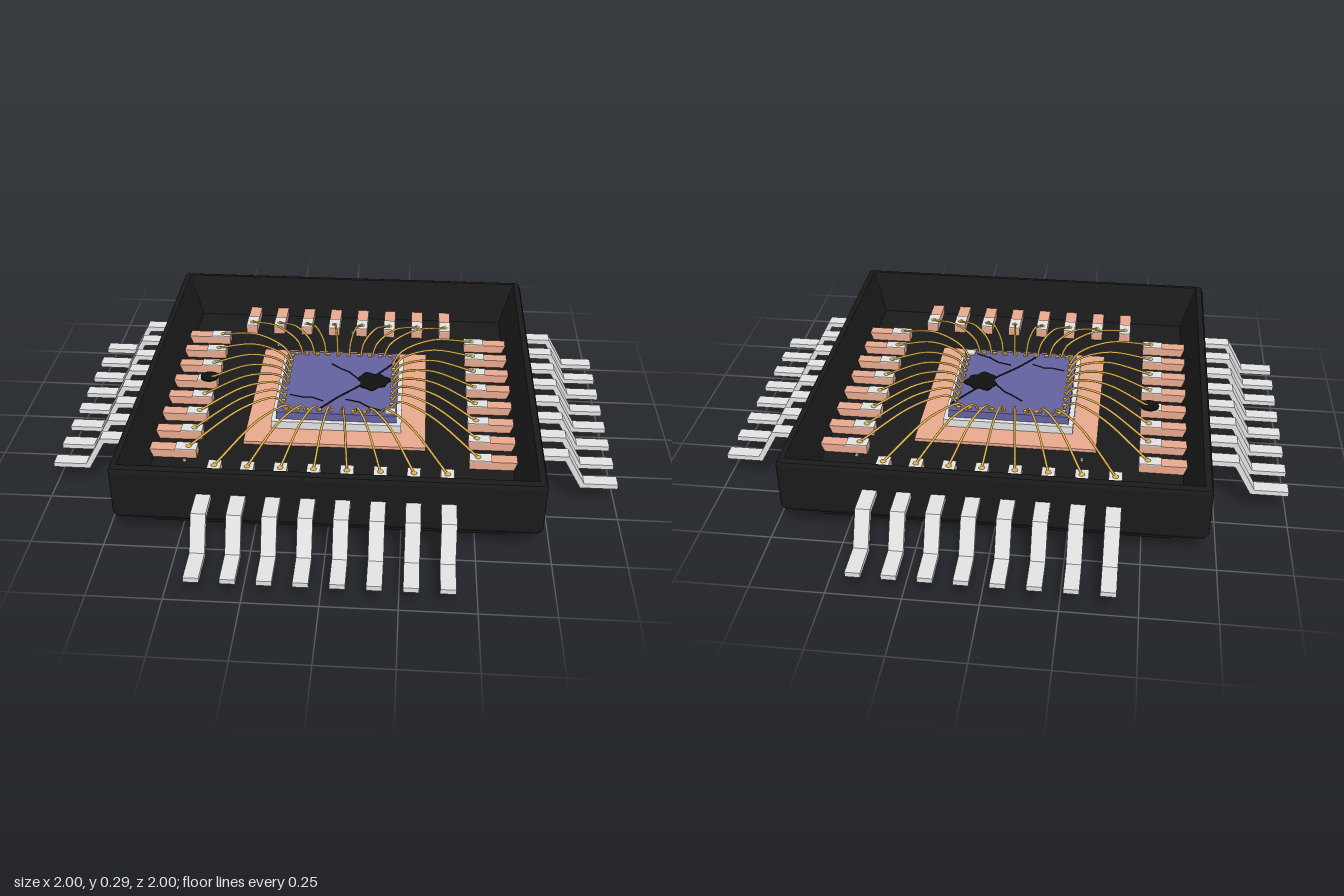
import * as THREE from 'three';

const mat = (name, color) => {
  const m = new THREE.MeshStandardMaterial({ color });
  m.name = name;
  return m;
};

// Loft of rounded squares; profile entries are [half width, y, corner radius]
function squareLoft(profile, arc = 4) {
  const pos = [], idx = [], n = 4 * (arc + 1);
  for (const [h, y, r] of profile)
    for (let q = 0; q < 4; q++) {
      const mid = Math.PI / 4 + q * Math.PI / 2;
      const cx = Math.sign(Math.cos(mid)) * (h - r), cz = Math.sign(Math.sin(mid)) * (h - r);
      for (let k = 0; k <= arc; k++) {
        const a = (q + k / arc) * Math.PI / 2;
        pos.push(cx + r * Math.cos(a), y, cz + r * Math.sin(a));
      }
    }
  for (let i = 0; i < profile.length - 1; i++)
    for (let j = 0; j < n; j++) {
      const a = i * n + j, b = i * n + (j + 1) % n;
      idx.push(a, a + n, b, b, a + n, b + n);
    }
  const g = new THREE.BufferGeometry();
  g.setAttribute('position', new THREE.Float32BufferAttribute(pos, 3));
  g.setIndex(idx);
  const flat = g.toNonIndexed();
  flat.computeVertexNormals();
  return flat;
}

export function createModel() {
  const model = new THREE.Group();
  model.name = 'openChipPackage';
  const black = mat('blackPlastic', 0x1a1a1a);
  const silver = mat('silverMetal', 0xe2e2e2);
  const copper = mat('copper', 0xe8a98e);
  const blue = mat('blueSilicon', 0x64619f);
  const gold = mat('goldWire', 0xdfb04a);
  const char = mat('charredBlack', 0x111111);

  const add = (parent, name, geo, material, x = 0, y = 0, z = 0) => {
    const m = new THREE.Mesh(geo, material);
    m.name = name;
    m.position.set(x, y, z);
    parent.add(m);
    return m;
  };
  const box = (parent, name, material, w, y0, y1, d, x = 0, z = 0) =>
    add(parent, name, new THREE.BoxGeometry(w, y1 - y0, d), material, x, (y0 + y1) / 2, z);

  // Housing: tapered base, rounded rim and sunken cavity
  const floor = 0.138;
  add(model, 'housing', squareLoft([
    [0, 0, 0], [0.605, 0, 0.002], [0.632, 0.09, 0.002], [0.698, 0.09, 0.012], [0.711, 0.096, 0.018],
    [0.718, 0.11, 0.022], [0.718, 0.277, 0.022], [0.712, 0.29, 0.018], [0.7, 0.295, 0.012],
    [0.69, 0.294, 0.004], [0.635, floor, 0.002], [0, floor, 0],
  ]), black);

  // Copper pad, bonding layer and die
  const padTop = 0.15, layerTop = 0.18, dieTop = 0.21;
  box(model, 'diePad', copper, 0.655, floor, padTop, 0.655);
  box(model, 'bondLayer', silver, 0.475, padTop, layerTop, 0.475);
  box(model, 'die', blue, 0.44, layerTop, dieTop, 0.44);
  box(model, 'cornerMarker', silver, 0.035, dieTop, dieTop + 0.006, 0.035, 0.197, 0.193);

  // Gull-wing pin section, drawn as outward distance and height
  const w = 0.05;
  const section = new THREE.Shape([
    [0.7, 0.187], [0.808, 0.187], [0.87, 0.077], [1, 0.077],
    [1, 0.095], [0.882, 0.095], [0.82, 0.207], [0.7, 0.207],
  ].map(p => new THREE.Vector2(...p)));
  const pinGeo = new THREE.ExtrudeGeometry(section, { depth: w, bevelEnabled: false });
  pinGeo.rotateY(-Math.PI / 2).translate(w / 2, 0, 0);
  const ballGeo = new THREE.SphereGeometry(0.011, 10, 6);
  const leadTop = 0.17, tipTop = 0.174;

  // Four mirrored sides, each with eight pins, inner leads and bond wires
  for (let s = 0; s < 4; s++) {
    const side = new THREE.Group();
    side.name = 'pinSide' + (s + 1);
    side.rotation.y = s * Math.PI / 2;
    model.add(side);
    for (let i = 0; i < 8; i++) {
      const x = (i - 3.5) * 0.115, px = (i - 3.5) * 0.046;
      add(side, 'outerPin', pinGeo, silver, x);
      box(side, 'innerLead', copper, 0.046, floor, leadTop, 0.17, x, 0.565);
      box(side, 'leadTip', silver, 0.046, leadTop, tipTop, 0.077, x, 0.5185);
      const path = new THREE.CatmullRomCurve3([
        [px, dieTop, 0.2], [px * 1.1, 0.245, 0.225],
        [px + (x - px) * 0.45, 0.25, 0.34], [x, tipTop, 0.51],
      ].map(p => new THREE.Vector3(...p)));
      add(side, 'bondWire', new THREE.TubeGeometry(path, 16, 0.0044, 6), gold);
      add(side, 'wireBall', ballGeo, gold, x, tipTop, 0.51).scale.y = 0.5;
    }
    // Bond pads along the die edge
    for (let i = 0; i < 10; i++)
      box(side, 'bondPad', gold, 0.015, dieTop, dieTop + 0.005, 0.015, (i - 4.5) * 0.041, 0.2);
  }

  // Cracks across the die, as thin strips along [x, z] points
  const cracks = [
    [0.007, [0.215, -0.175], [0.165, -0.1], [0.1, -0.01], [0.06, 0.04], [0, 0.105], [-0.06, 0.185]],
    [0.005, [-0.04, -0.13], [0.0, -0.095], [0.03, -0.075], [0.065, -0.03]],
    [0.004, [-0.18, 0.1], [-0.13, 0.115], [-0.1, 0.112], [-0.055, 0.135]],
    [0.005, [0.03, 0.12], [0.08, 0.135], [0.115, 0.165], [0.17, 0.19]],
  ];
  for (const [width, ...pts] of cracks)
    for (let i = 1; i < pts.length; i++) {
      const [x0, z0] = pts[i - 1], [x1, z1] = pts[i];
      const strip = box(model, 'crack', char, Math.hypot(x1 - x0, z1 - z0) + width / 2,
        dieTop, dieTop + 0.002, width, (x0 + x1) / 2, (z0 + z1) / 2);
      strip.rotation.y = -Math.atan2(z1 - z0, x1 - x0);
    }

  // Irregular scorched patch on the die
  const outline = [];
  for (let i = 0; i < 28; i++) {
    const a = i / 28 * Math.PI * 2;
    const k = 0.066 * (0.88 + 0.1 * Math.sin(3 * a + 1) + 0.09 * Math.sin(7 * a));
    outline.push(new THREE.Vector2(k * Math.cos(a), k * Math.sin(a)));
  }
  const patch = new THREE.ExtrudeGeometry(new THREE.Shape(outline), { depth: 0.004, bevelEnabled: false });
  add(model, 'dieScorch', patch.rotateX(-Math.PI / 2), char, 0.125, dieTop, -0.012);

  // Flat round orientation dot over one lead tip
  add(model, 'orientationDot', new THREE.CylinderGeometry(0.034, 0.034, 0.006, 24), char, -0.512, tipTop + 0.003, -0.058);

  // Loose chips on the cavity floor
  for (const [x, z] of [[0.02, -0.5], [-0.28, -0.38], [-0.52, 0.445], [0.515, -0.44]])
    box(model, 'looseChip', silver, 0.01, floor, floor + 0.008, 0.008, x, z).rotation.y = x * 5;

  return model;
}
